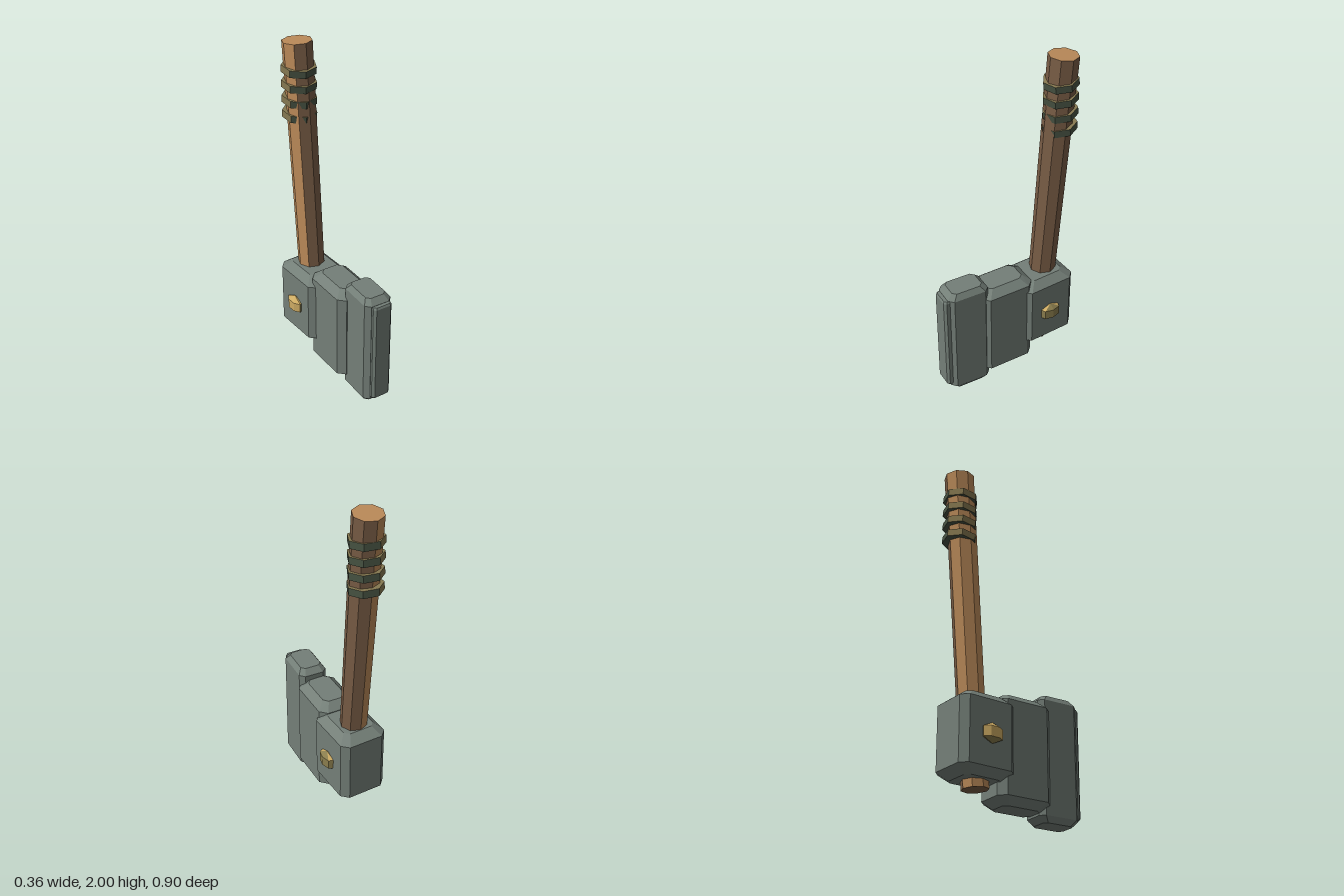
import * as THREE from 'three';

const mat = (name, color) => {
  const m = new THREE.MeshStandardMaterial({ color });
  m.name = name;
  return m;
};

// Flat facets: every face gets its own normals
function facet(geometry) {
  const g = geometry.index ? geometry.toNonIndexed() : geometry;
  g.computeVertexNormals();
  return g;
}

// Facets towards the top, right and back take the second (worn, paler) material
function twoTone(geometry) {
  const g = facet(geometry);
  const normal = g.attributes.normal;
  g.clearGroups();
  for (let i = 0; i < normal.count; i += 3) {
    const worn = -normal.getX(i) + normal.getY(i) - 0.5 * normal.getZ(i) > 0.3;
    g.addGroup(i, 3, worn ? 1 : 0);
  }
  return g;
}

// Octagonal block with bevelled top and bottom.
// hx, hz: half sizes; c: corner cut; y0..y1: height; bevel: bevel height; sx, sz: cap scale
function bevelBlock({ hx, hz, c, y0, y1, bevel, sx, sz }) {
  const outline = [
    [hx - c, hz], [hx, hz - c], [hx, c - hz], [hx - c, -hz],
    [c - hx, -hz], [-hx, c - hz], [-hx, hz - c], [c - hx, hz],
  ];
  const levels = [[y0, sx, sz], [y0 + bevel, 1, 1], [y1 - bevel, 1, 1], [y1, sx, sz]];
  const pos = [], idx = [], n = outline.length;
  for (const [y, kx, kz] of levels) for (const [x, z] of outline) pos.push(x * kx, y, z * kz);
  for (let l = 0; l < 3; l++) {
    for (let i = 0; i < n; i++) {
      const a = l * n + i, b = l * n + (i + 1) % n;
      idx.push(a, b, b + n, a, b + n, a + n);
    }
  }
  for (let i = 1; i < n - 1; i++) {
    idx.push(0, i + 1, i);
    idx.push(3 * n, 3 * n + i, 3 * n + i + 1);
  }
  const g = new THREE.BufferGeometry();
  g.setAttribute('position', new THREE.Float32BufferAttribute(pos, 3));
  g.setIndex(idx);
  return facet(g);
}

export function createModel() {
  const root = new THREE.Group();
  root.name = 'stoneAxe';
  const stone = mat('stone', 0x747f78);
  const wood = [mat('wood', 0x785c45), mat('pale wood', 0xbb8a59)];
  const cord = [mat('cord', 0x465141), mat('worn cord', 0x857850)];
  const brass = [mat('brass', 0x8a7d4d), mat('bright brass', 0xcdab63)];

  const add = (name, geometry, material) => {
    const mesh = new THREE.Mesh(geometry, material);
    mesh.name = name;
    root.add(mesh);
    return mesh;
  };

  // Head: socket block, then progressively narrower and taller blocks to the edge
  const blocks = [
    { name: 'socketBlock', x: 0, z: -0.223, turn: 0, hx: 0.145, hz: 0.175, c: 0.04, y0: 0.158, y1: 0.62, bevel: 0.045, sx: 0.67, sz: 0.66 },
    { name: 'middleBlock', x: 0, z: 0.046, turn: -0.047, hx: 0.117, hz: 0.17, c: 0.041, y0: 0.045, y1: 0.667, bevel: 0.043, sx: 0.6, sz: 0.7 },
    { name: 'bladeBlock', x: 0, z: 0.296, turn: -0.08, hx: 0.086, hz: 0.128, c: 0.029, y0: 0, y1: 0.73, bevel: 0.034, sx: 0.74, sz: 0.74 },
    { name: 'bladeEdge', x: -0.004, z: 0.41, turn: -0.06, hx: 0.061, hz: 0.041, c: 0.014, y0: 0.048, y1: 0.695, bevel: 0.012, sx: 0.9, sz: 0.85 },
  ];
  for (const b of blocks) {
    const mesh = add(b.name, bevelBlock(b), stone);
    mesh.position.set(b.x, 0, b.z);
    mesh.rotation.y = b.turn;
  }

  // Eight-sided tapered handle leaning back
  const handle = add('handle', twoTone(new THREE.CylinderGeometry(0.087, 0.076, 1.88, 8)), wood);
  handle.position.set(0, 1.053, -0.292);
  handle.rotation.x = -0.077;

  // Grip bindings
  const bindGeo = twoTone(new THREE.CylinderGeometry(0.101, 0.101, 0.042, 7, 1, false, -0.22));
  for (let i = 0; i < 4; i++) {
    const band = add('gripBinding', bindGeo, cord);
    band.position.set(0, 1.835 - i * 0.09, -0.35);
    band.rotation.x = 0.09;
  }

  // Faceted studs on both sides of the socket
  const studGeo = twoTone(new THREE.SphereGeometry(1, 7, 3, Math.PI).scale(0.038, 0.058, 0.073));
  for (const side of [1, -1]) {
    const stud = add(side > 0 ? 'leftStud' : 'rightStud', studGeo, brass);
    stud.position.set(side * 0.15, 0.385, -0.218);
  }
  return root;
}
